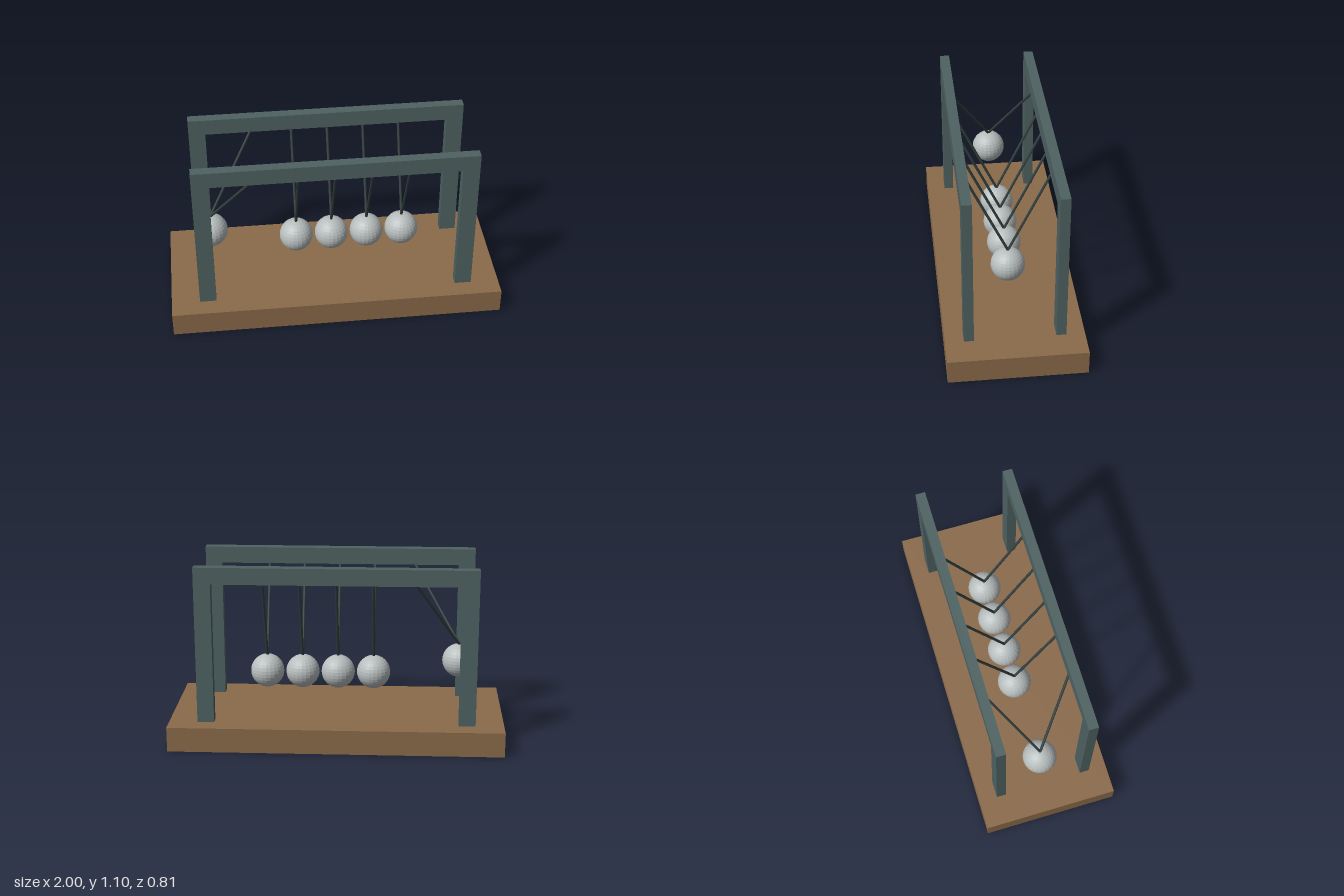
import * as THREE from 'three';

const wood = new THREE.MeshStandardMaterial({ color: 0x8b6b4a });
const frameMat = new THREE.MeshStandardMaterial({ color: 0x4f6262 });
const stringMat = new THREE.MeshStandardMaterial({ color: 0x344141 });
const steel = new THREE.MeshStandardMaterial({ color: 0xb8bebe, flatShading: true });

const RADIUS = 0.102;
const SPACING = 0.2165;
const BAR_Y = 1.05;
const FRAME_Z = 0.267;

function add(parent, name, geometry, material, x, y, z) {
  const mesh = new THREE.Mesh(geometry, material);
  mesh.name = name;
  mesh.position.set(x, y, z);
  parent.add(mesh);
  return mesh;
}

// Thin cylinder stretched between two points
function addString(parent, from, to) {
  const dir = to.clone().sub(from);
  const mid = from.clone().add(to).multiplyScalar(0.5);
  const mesh = add(parent, 'string', new THREE.CylinderGeometry(0.008, 0.008, dir.length(), 8), stringMat, mid.x, mid.y, mid.z);
  mesh.quaternion.setFromUnitVectors(new THREE.Vector3(0, 1, 0), dir.normalize());
}

// Upside-down U: two legs and a top bar in one outline
function frameGeometry() {
  const shape = new THREE.Shape([
    [-0.83, 0.15], [-0.73, 0.15], [-0.73, 1.0], [0.73, 1.0],
    [0.73, 0.15], [0.83, 0.15], [0.83, 1.1], [-0.83, 1.1],
  ].map(([x, y]) => new THREE.Vector2(x, y)));
  return new THREE.ExtrudeGeometry(shape, { depth: 0.058, bevelEnabled: false }).translate(0, 0, -0.029);
}

export function createModel() {
  const model = new THREE.Group();
  model.name = 'swingingBalls';

  add(model, 'base', new THREE.BoxGeometry(2, 0.15, 0.81), wood, 0, 0.075, 0);

  const frame = frameGeometry();
  add(model, 'frontFrame', frame, frameMat, 0, 0, FRAME_Z);
  add(model, 'backFrame', frame, frameMat, 0, 0, -FRAME_Z);

  // Five balls, the first one pulled aside
  const ball = new THREE.SphereGeometry(RADIUS, 24, 16);
  for (let i = -2; i <= 2; i++) {
    const pendulum = new THREE.Group();
    pendulum.name = i === -2 ? 'raisedPendulum' : 'pendulum';
    const pivotX = i * SPACING;
    const x = i === -2 ? -0.735 : pivotX;
    const y = i === -2 ? 0.467 : 0.385;
    add(pendulum, 'ball', ball, steel, x, y, 0);
    const top = new THREE.Vector3(x, y + RADIUS - 0.003, 0);
    for (const side of [1, -1]) {
      addString(pendulum, new THREE.Vector3(pivotX, BAR_Y, side * FRAME_Z), top);
    }
    model.add(pendulum);
  }
  return model;
}
